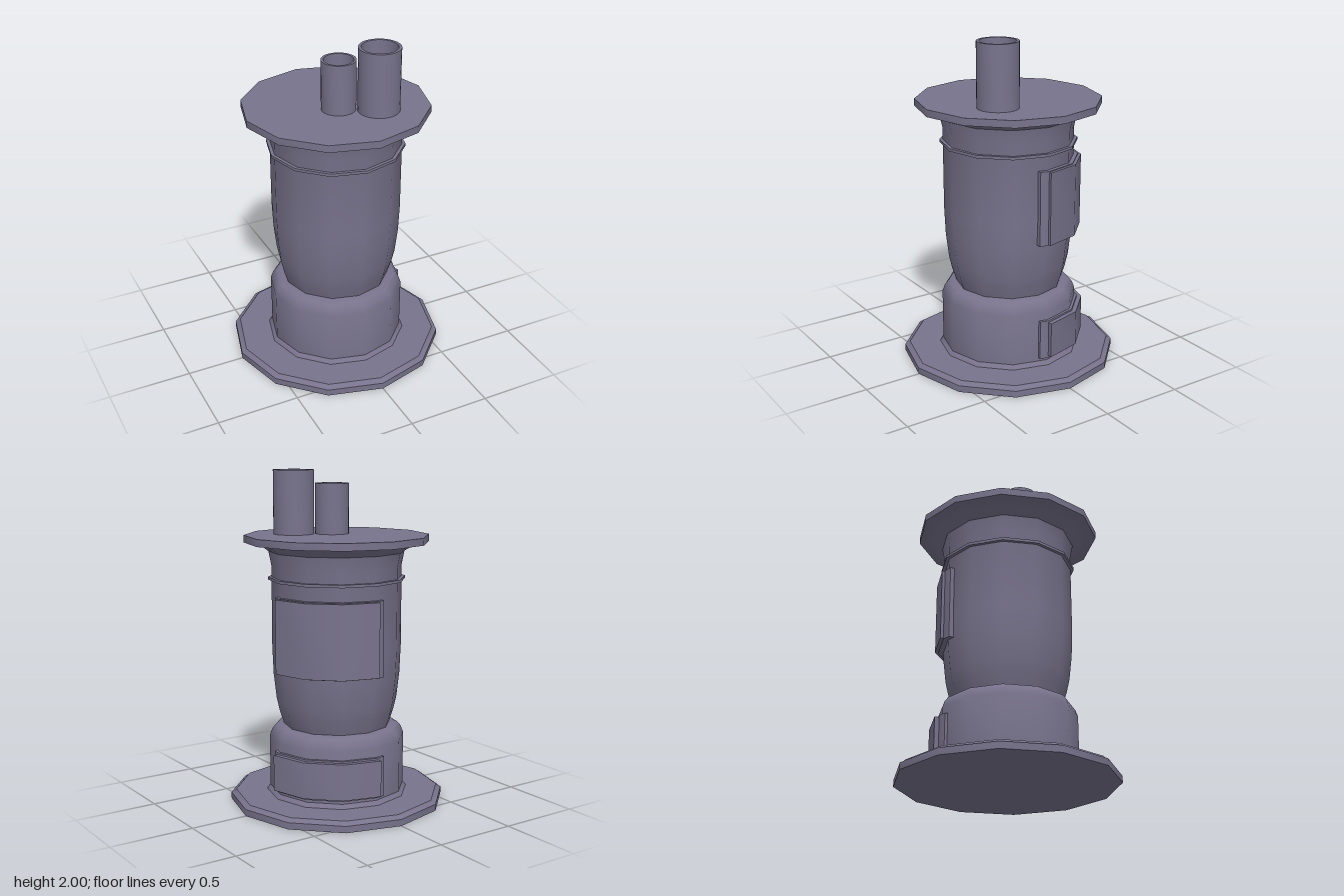
import * as THREE from 'three';
import { toCreasedNormals } from 'three/addons/utils/BufferGeometryUtils.js';

const SIDES = 12;
const CREASE = 0.62;

export function createModel() {
  const group = new THREE.Group();
  const material = new THREE.MeshStandardMaterial({ color: 0x78738c });

  const add = (name, geometry) => {
    const mesh = new THREE.Mesh(toCreasedNormals(geometry, CREASE), material);
    mesh.name = name;
    group.add(mesh);
    return mesh;
  };
  // Turned part from [radius, height] pairs, listed bottom to top on the outside
  const turned = (name, profile, sides = SIDES) =>
    add(name, new THREE.LatheGeometry(profile.map(([r, y]) => new THREE.Vector2(r, y)), sides));

  // Stepped floor plate and ash chamber
  turned('base', [
    [0, 0], [0.65, 0], [0.65, 0.04], [0.635, 0.045], [0.62, 0.06], [0.43, 0.06],
    [0.41, 0.085], [0.41, 0.4], [0.395, 0.44], [0.375, 0.465], [0.345, 0.475], [0, 0.475],
  ]);

  // Tapered barrel flaring into the top plate
  turned('barrel', [
    [0.322, 0.47], [0.348, 0.55], [0.366, 0.63], [0.383, 0.78], [0.39, 0.95], [0.39, 1.44],
    [0.407, 1.525], [0.45, 1.555], [0.495, 1.577],
  ]);
  turned('topPlate', [[0, 1.577], [0.552, 1.577], [0.552, 1.62], [0, 1.62]]);
  turned('band', [[0.38, 1.355], [0.41, 1.355], [0.41, 1.372], [0.38, 1.372]]);

  // Open pipes
  const pipe = (name, x, z, outer, inner, top) => {
    turned(name, [[outer, 1.61], [outer, top], [inner, top], [inner, 1.622], [0, 1.622]], 32)
      .position.set(x, 0, z);
  };
  pipe('largePipe', 0.18, 0.192, 0.122, 0.105, 2);
  pipe('smallPipe', -0.02, 0.08, 0.101, 0.086, 1.92);

  // Plate wrapped round three facets of the back-left quarter, with optional overhang
  const wrapped = (name, outer, inner, y0, y1, overhang) => {
    const arc = (r) => {
      const points = [0, 1, 2, 3].map((i) => {
        const a = (i * Math.PI) / 6;
        return new THREE.Vector2(r * Math.cos(a), r * Math.sin(a));
      });
      if (overhang) {
        const end = r - overhang * Math.tan(Math.PI / 12);
        points.unshift(new THREE.Vector2(end, -overhang));
        points.push(new THREE.Vector2(-overhang, end));
      }
      return points;
    };
    const shape = new THREE.Shape([...arc(outer), ...arc(inner).reverse()]);
    const geometry = new THREE.ExtrudeGeometry(shape, { depth: y1 - y0, bevelEnabled: false });
    geometry.rotateX(-Math.PI / 2);
    geometry.translate(0, y0, 0);
    add(name, geometry);
  };
  wrapped('upperDoorFrame', 0.415, 0.38, 0.82, 1.27, 0.05);
  wrapped('upperDoorPanel', 0.434, 0.405, 0.825, 1.265, 0);
  wrapped('lowerDoorFrame', 0.427, 0.4, 0.105, 0.348, 0.05);
  wrapped('lowerDoorPanel', 0.455, 0.42, 0.12, 0.337, 0);

  return group;
}
